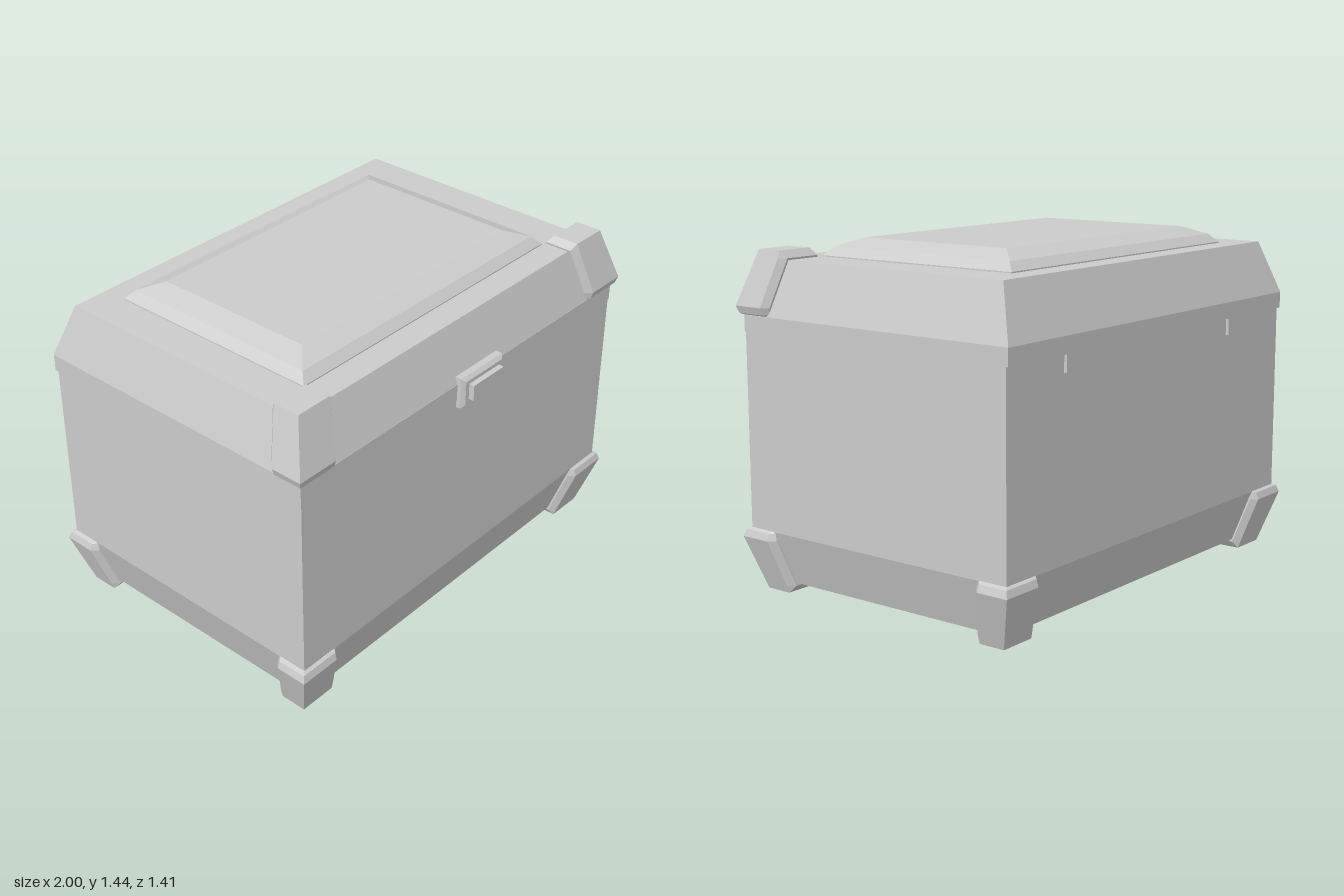
import * as THREE from 'three';
import { ConvexGeometry } from 'three/addons/geometries/ConvexGeometry.js';

const material = new THREE.MeshStandardMaterial({ color: 0xcccccc, flatShading: true });
const CZ = -0.0115; // the box sits slightly behind the origin, balancing the latch

function hull(name, points) {
  const mesh = new THREE.Mesh(new ConvexGeometry(points), material);
  mesh.name = name;
  return mesh;
}

// Convex solid from rectangular levels: [y, halfX, halfZ], centred on (cx, cz)
function rectLoft(name, levels, cx = 0, cz = CZ) {
  const points = [];
  for (const [y, hx, hz] of levels)
    for (const sx of [-1, 1])
      for (const sz of [-1, 1]) points.push(new THREE.Vector3(cx + sx * hx, y, cz + sz * hz));
  return hull(name, points);
}

function box(name, w, h, d, x, y, z) {
  const mesh = new THREE.Mesh(new THREE.BoxGeometry(w, h, d), material);
  mesh.name = name;
  mesh.position.set(x, y, z);
  return mesh;
}

// Slanted corner guard with chamfered edges.
// Levels: [y, outerX, innerX, outerZ, innerZ, chamfer]
const guardLevels = [
  [0, 0.93, 0.765, 0.6185, 0.503, 0],
  [0.03, 0.939, 0.743, 0.6275, 0.478, 0.027],
  [0.225, 1.0, 0.785, 0.688, 0.522, 0.027],
  [0.255, 0.99, 0.79, 0.678, 0.53, 0.02],
  [0.262, 0.973, 0.80, 0.665, 0.54, 0],
];
function cornerGuard(name, sx, sz, flip) {
  const points = [];
  for (const [h, ox, ix, oz, iz, c] of guardLevels) {
    const y = flip ? 1.403 - h : h;
    const section = [[ox, oz], [ox, iz + c], [ox - c, iz], [ix, iz], [ix, oz - c], [ix + c, oz]];
    for (const [x, z] of section) points.push(new THREE.Vector3(sx * x, y, CZ + sz * z));
  }
  return hull(name, points);
}

export function createModel() {
  const group = new THREE.Group();
  group.name = 'storageChest';

  // Body with inward-sloping skirt
  group.add(rectLoft('body', [[0.04, 0.905, 0.597], [0.26, 0.972, 0.664], [1.08, 0.972, 0.664]]));

  // Lid: straight rim, overhanging at the back, then sloping sides
  const lid = new THREE.Group();
  lid.name = 'lid';
  lid.add(rectLoft('lidRim', [[1.07, 0.976, 0.6715], [1.14, 0.976, 0.6715]], 0, -0.0165));
  lid.add(rectLoft('lidTop', [[1.14, 0.976, 0.6715], [1.365, 0.905, 0.5935]], 0, -0.0175));
  lid.add(rectLoft('lidPanel', [
    [1.36, 0.733, 0.4825], [1.37, 0.733, 0.4825], [1.405, 0.7, 0.4475], [1.44, 0.61, 0.3635],
  ], -0.0105, -0.023));
  group.add(lid);

  // Four feet and two guards on the front corners of the lid
  for (const sx of [-1, 1]) {
    const side = sx > 0 ? 'Left' : 'Right';
    group.add(cornerGuard('frontFoot' + side, sx, 1, false));
    group.add(cornerGuard('backFoot' + side, sx, -1, false));
    group.add(cornerGuard('lidGuard' + side, sx, 1, true));
  }

  // Latch: bevelled plate with a raised button
  const latch = new THREE.Group();
  latch.name = 'latch';
  const platePoints = [];
  for (const [z, hx, hy] of [[0.64, 0.13, 0.068], [0.672, 0.13, 0.068], [0.686, 0.115, 0.053]])
    for (const sx of [-1, 1])
      for (const sy of [-1, 1]) platePoints.push(new THREE.Vector3(0.05 + sx * hx, 1.103 + sy * hy, z));
  latch.add(hull('latchPlate', platePoints));
  latch.add(box('latchButton', 0.19, 0.07, 0.05, 0.05, 1.105, 0.685));
  group.add(latch);

  // Hinge tabs hanging from the back of the rim
  for (const x of [0.563, -0.597]) group.add(box('hingeTab', 0.125, 0.08, 0.03, x, 1.04, -0.673));

  return group;
}
